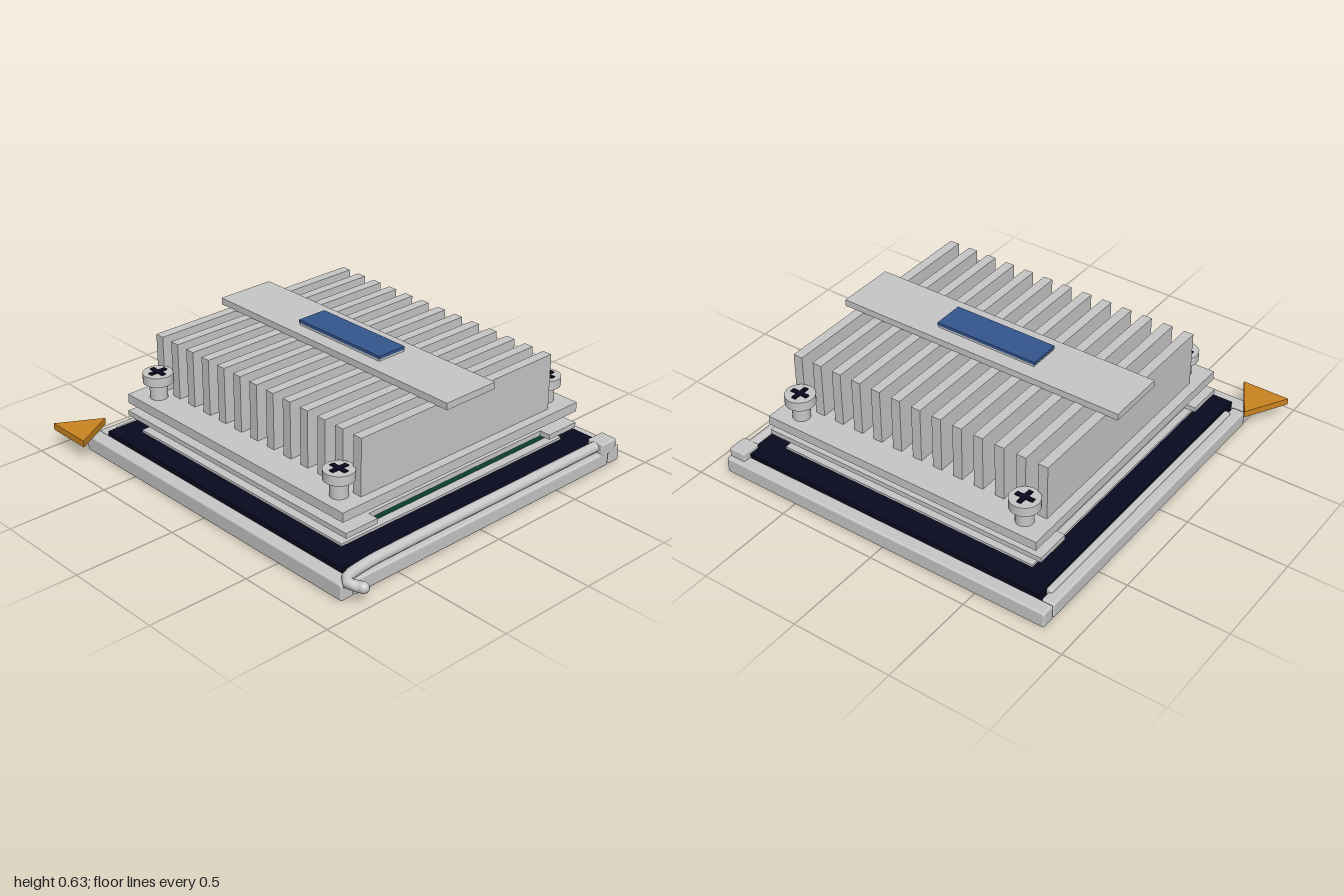
import * as THREE from 'three';
import { RoundedBoxGeometry } from 'three/addons/geometries/RoundedBoxGeometry.js';

const material = (name, color) => {
  const m = new THREE.MeshStandardMaterial({ color });
  m.name = name;
  return m;
};

export function createModel() {
  const model = new THREE.Group();
  model.name = 'socketWithHeatsink';
  const metal = material('lightMetal', 0xc8c8c8);
  const dark = material('darkPlastic', 0x0a0a20);
  const green = material('boardGreen', 0x0e4a30);
  const gold = material('gold', 0xcc8420);
  const blue = material('labelBlue', 0x34568e);

  const add = (name, geometry, mat, parent = model) => {
    const mesh = new THREE.Mesh(geometry, mat);
    mesh.name = name;
    parent.add(mesh);
    return mesh;
  };
  // Box given by its limits on each axis; r rounds the edges
  const block = (name, mat, [x0, x1], [y0, y1], [z0, z1], r = 0, parent = model) => {
    const s = [x1 - x0, y1 - y0, z1 - z0];
    const g = r ? new RoundedBoxGeometry(...s, 2, r) : new THREE.BoxGeometry(...s);
    g.translate((x0 + x1) / 2, (y0 + y1) / 2, (z0 + z1) / 2);
    return add(name, g, mat, parent);
  };
  // Flat plate extruded upward from an outline of [x, z] points
  const plate = (name, mat, points, y0, y1) => {
    const shape = new THREE.Shape(points.map(([x, z]) => new THREE.Vector2(x, -z)));
    const g = new THREE.ExtrudeGeometry(shape, { depth: y1 - y0, bevelEnabled: false });
    g.rotateX(-Math.PI / 2).translate(0, y0, 0);
    return add(name, g, mat);
  };

  // Socket: outer frame, dark contact bed and underside
  block('frameBack', metal, [-0.86, 0.9], [0.003, 0.083], [-0.925, -0.855], 0.01);
  block('frameFront', metal, [-0.86, 0.9], [0.003, 0.083], [0.76, 0.832], 0.01);
  block('frameLeft', metal, [-0.86, -0.795], [0.003, 0.08], [-0.85, 0.757], 0.01);
  block('frameRight', metal, [0.83, 0.9], [0.003, 0.075], [-0.85, 0.757], 0.01);
  block('frameInnerRail', metal, [-0.815, -0.783], [0.03, 0.095], [-0.8, 0.7], 0.01);
  block('contactBed', dark, [-0.785, 0.832], [0.01, 0.103], [-0.858, 0.762]);
  block('underside', dark, [-0.825, 0.865], [0, 0.02], [-0.89, 0.797]);

  // Locking lever with its pivot block
  block('leverPivot', metal, [0.812, 0.9], [0.06, 0.125], [-0.9, -0.8], 0.008);
  const path = new THREE.CatmullRomCurve3([
    [0.855, 0.098, -0.82], [0.856, 0.098, -0.2], [0.858, 0.098, 0.45], [0.865, 0.098, 0.68],
    [0.885, 0.095, 0.785], [0.92, 0.087, 0.805], [0.955, 0.088, 0.785], [0.978, 0.09, 0.782],
  ].map((p) => new THREE.Vector3(...p)));
  add('lever', new THREE.TubeGeometry(path, 48, 0.026, 12), metal);
  const tip = add('leverTip', new THREE.SphereGeometry(0.026, 12, 8), metal);
  tip.position.copy(path.getPoint(1));

  // Gold corner markers
  plate('cornerMarker', gold, [[-1, 0.92], [-0.76, 0.92], [-0.88, 0.71]], 0.085, 0.118);
  plate('boardMarker', gold, [[-0.635, 0.585], [-0.48, 0.585], [-0.56, 0.51]], 0.147, 0.163);

  // Chip: base, board, edge components and heat spreader
  block('chipBase', metal, [-0.67, 0.705], [0.1, 0.115], [-0.735, 0.65]);
  block('circuitBoard', green, [-0.62, 0.66], [0.115, 0.146], [-0.69, 0.602]);
  for (let i = 0; i < 7; i++) {
    const x = i < 6 ? -0.43 + i * 0.15 : 0.545;
    for (const z of [0.56, -0.645])
      block('edgeComponent', dark, [x - 0.026, x + 0.026], [0.146, 0.157], [z - 0.016, z + 0.016]);
  }
  for (const z of [0.34, 0.13, -0.08, -0.29, -0.49])
    for (const x of [-0.585, 0.622])
      block('edgeComponent', dark, [x - 0.016, x + 0.016], [0.146, 0.157], [z - 0.026, z + 0.026]);
  block('heatSpreader', metal, [-0.54, 0.58], [0.146, 0.182], [-0.6, 0.505]);

  // Clamp plate, notched on both sides
  plate('clampPlate', metal, [
    [-0.73, 0.68], [0.765, 0.68], [0.765, 0.5], [0.71, 0.5], [0.71, -0.58], [0.765, -0.58],
    [0.765, -0.76], [-0.73, -0.76], [-0.73, -0.58], [-0.675, -0.58], [-0.675, 0.5], [-0.73, 0.5],
  ], 0.18, 0.205);
  block('lowerSpacer', metal, [-0.47, 0.51], [0.205, 0.235], [-0.53, 0.45]);
  block('upperSpacer', metal, [-0.49, 0.53], [0.233, 0.254], [-0.55, 0.47]);

  // Heatsink: base, fins and the bar across them
  block('heatsinkBase', metal, [-0.715, 0.75], [0.252, 0.298], [-0.778, 0.685]);
  for (let i = 0; i < 13; i++) {
    const x = -0.645 + i * 0.1105;
    block('fin', metal, [x - 0.024, x + 0.024], [0.298, 0.574], [-0.63, 0.54]);
  }
  block('crossBar', metal, [-0.73, 0.765], [0.572, 0.605], [-0.194, 0.102]);
  block('labelBase', metal, [-0.245, 0.28], [0.605, 0.616], [-0.12, 0.032]);
  block('label', blue, [-0.25, 0.283], [0.616, 0.631], [-0.122, 0.034]);

  // Corner screws with cross recesses
  for (const x of [-0.597, 0.63]) for (const z of [-0.69, 0.595]) {
    const screw = new THREE.Group();
    screw.name = 'cornerScrew';
    screw.position.set(x, 0, z);
    model.add(screw);
    add('screwShaft', new THREE.CylinderGeometry(0.042, 0.042, 0.09, 24), metal, screw).position.y = 0.34;
    add('screwHead', new THREE.CylinderGeometry(0.071, 0.071, 0.046, 32), metal, screw).position.y = 0.401;
    block('crossSlotX', dark, [-0.045, 0.045], [0.422, 0.43], [-0.011, 0.011], 0, screw);
    block('crossSlotZ', dark, [-0.011, 0.011], [0.422, 0.4305], [-0.045, 0.045], 0, screw);
  }
  return model;
}
